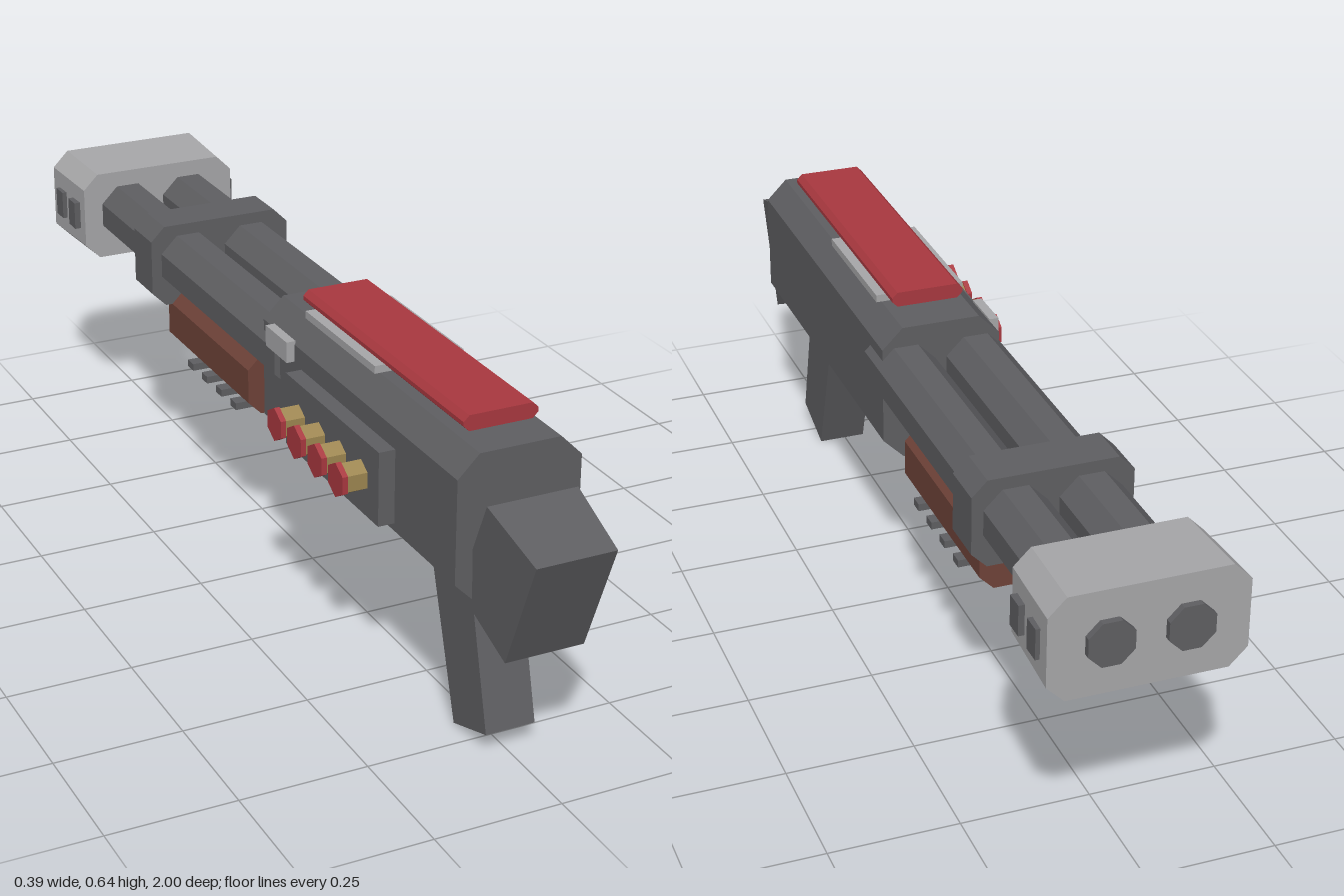
import * as THREE from 'three';

const CX = 0.007; // shared centre line of body and barrels

const mat = (name, color) => {
  const m = new THREE.MeshStandardMaterial({ color });
  m.name = name;
  return m;
};

// Chamfered rectangle swept along z
function prism(cx, w, y0, y1, c, z0, z1) {
  const h = w / 2, s = new THREE.Shape();
  [[-h + c, y0], [h - c, y0], [h, y0 + c], [h, y1 - c], [h - c, y1], [-h + c, y1], [-h, y1 - c], [-h, y0 + c]]
    .forEach(([x, y], i) => (i ? s.lineTo(cx + x, y) : s.moveTo(cx + x, y)));
  return new THREE.ExtrudeGeometry(s, { depth: z1 - z0, bevelEnabled: false }).translate(0, 0, z0);
}

// Side profile of [z, y] points swept across x
function sideProfile(points, w) {
  const s = new THREE.Shape(points.map(([z, y]) => new THREE.Vector2(z, y)));
  return new THREE.ExtrudeGeometry(s, { depth: w, bevelEnabled: false })
    .translate(0, 0, -w / 2).rotateY(-Math.PI / 2).translate(CX, 0, 0);
}

const box = (x0, x1, y0, y1, z0, z1) => new THREE.BoxGeometry(x1 - x0, y1 - y0, z1 - z0)
  .translate((x0 + x1) / 2, (y0 + y1) / 2, (z0 + z1) / 2);

export function createModel() {
  const dark = mat('gunmetal', 0x5e5e61);
  const light = mat('lightSteel', 0xa6a6a8);
  const red = mat('red', 0xa8383f);
  const brown = mat('brown', 0x6e4238);
  const brass = mat('brass', 0x9c8550);
  for (const m of [dark, light, red, brown, brass]) m.flatShading = true;

  const group = new THREE.Group();
  const add = (name, geometry, material) => {
    const mesh = new THREE.Mesh(geometry, material);
    mesh.name = name;
    group.add(mesh);
    return mesh;
  };

  // Receiver body
  add('receiver', prism(CX, 0.243, 0.32, 0.605, 0.042, 0.02, 0.805), dark);

  // Stock, a little narrower toward its rear end
  const stock = sideProfile([[1.0, 0.478], [0.85, 0.527], [0.762, 0.325], [0.91, 0.253]], 0.178);
  const p = stock.attributes.position;
  for (let i = 0; i < p.count; i++) {
    if (p.getZ(i) > 0.88) p.setX(i, CX + (p.getX(i) - CX) * 0.88);
  }
  stock.computeVertexNormals();
  add('stock', stock, dark);

  // Grip and trigger bar
  add('grip', sideProfile([[0.805, 0.043], [0.729, 0.34], [0.579, 0.34], [0.687, 0.003]], 0.1), dark);
  add('triggerBar', box(CX - 0.02, CX + 0.02, 0.274, 0.297, 0.393, 0.59), dark);

  // Top cover and the rail beneath it
  add('topCover', prism(CX, 0.147, 0.613, 0.643, 0.011, 0.098, 0.735), red);
  add('topRail', box(CX - 0.091, CX + 0.091, 0.606, 0.621, 0.145, 0.435), light);

  // Twin barrels with muzzle plugs
  for (const side of [-1, 1]) {
    const x = CX + side * 0.0725;
    const barrel = new THREE.CylinderGeometry(0.066, 0.066, 0.99, 8)
      .rotateY(Math.PI / 8).rotateX(Math.PI / 2).translate(x, 0.503, -0.4);
    add('barrel', barrel, dark);
    const plug = new THREE.CylinderGeometry(0.046, 0.046, 0.1, 8)
      .rotateY(Math.PI / 8).rotateX(Math.PI / 2).translate(x, 0.503, -0.95);
    add('muzzlePlug', plug, dark);
  }

  // Clamp band around the barrels
  add('barrelBand', prism(CX, 0.312, 0.412, 0.588, 0.03, -0.567, -0.472), dark);

  // Muzzle block, flaring slightly toward the tip
  const muzzle = prism(0, 1, 0, 0, 0, 0, 0).dispose() || prism(CX, 0.366, 0.4, 0.602, 0.034, -0.987, -0.815);
  const q = muzzle.attributes.position;
  for (let i = 0; i < q.count; i++) {
    if (q.getZ(i) > -0.9) {
      q.setX(i, CX + (q.getX(i) - CX) * 0.96);
      q.setY(i, 0.501 + (q.getY(i) - 0.501) * 0.96);
    }
  }
  muzzle.computeVertexNormals();
  add('muzzleBlock', muzzle, light);

  // Side vents on the muzzle
  for (const side of [-1, 1]) {
    for (const z of [-0.86, -0.936]) {
      const x = CX + side * 0.182;
      add('muzzleVent', box(x - 0.008, x + 0.008, 0.47, 0.53, z - 0.019, z + 0.019), dark);
    }
  }

  // Pump handle with ribs underneath
  add('pump', prism(CX, 0.223, 0.313, 0.44, 0.028, -0.492, -0.08), brown);
  for (let i = 0; i < 4; i++) {
    const z = -0.152 - i * 0.0735;
    add('pumpRib', box(CX - 0.114, CX + 0.114, 0.302, 0.317, z - 0.014, z + 0.014), dark);
  }

  // Shell holder on the right side
  add('shellHolder', box(-0.147, -0.11, 0.377, 0.523, 0.19, 0.578), dark);
  add('sideLug', box(-0.131, -0.112, 0.528, 0.57, 0.065, 0.16), light);
  for (let i = 0; i < 4; i++) {
    const z = 0.248 + i * 0.0867;
    const hex = (r, x0, x1) => new THREE.CylinderGeometry(r, r, x1 - x0, 6)
      .rotateY(Math.PI / 2).rotateZ(Math.PI / 2).translate((x0 + x1) / 2, 0.45, z);
    add('shellCase', hex(0.031, -0.188, -0.14), brass);
    add('shellCap', hex(0.034, -0.198, -0.187), red);
  }

  return group;
}
